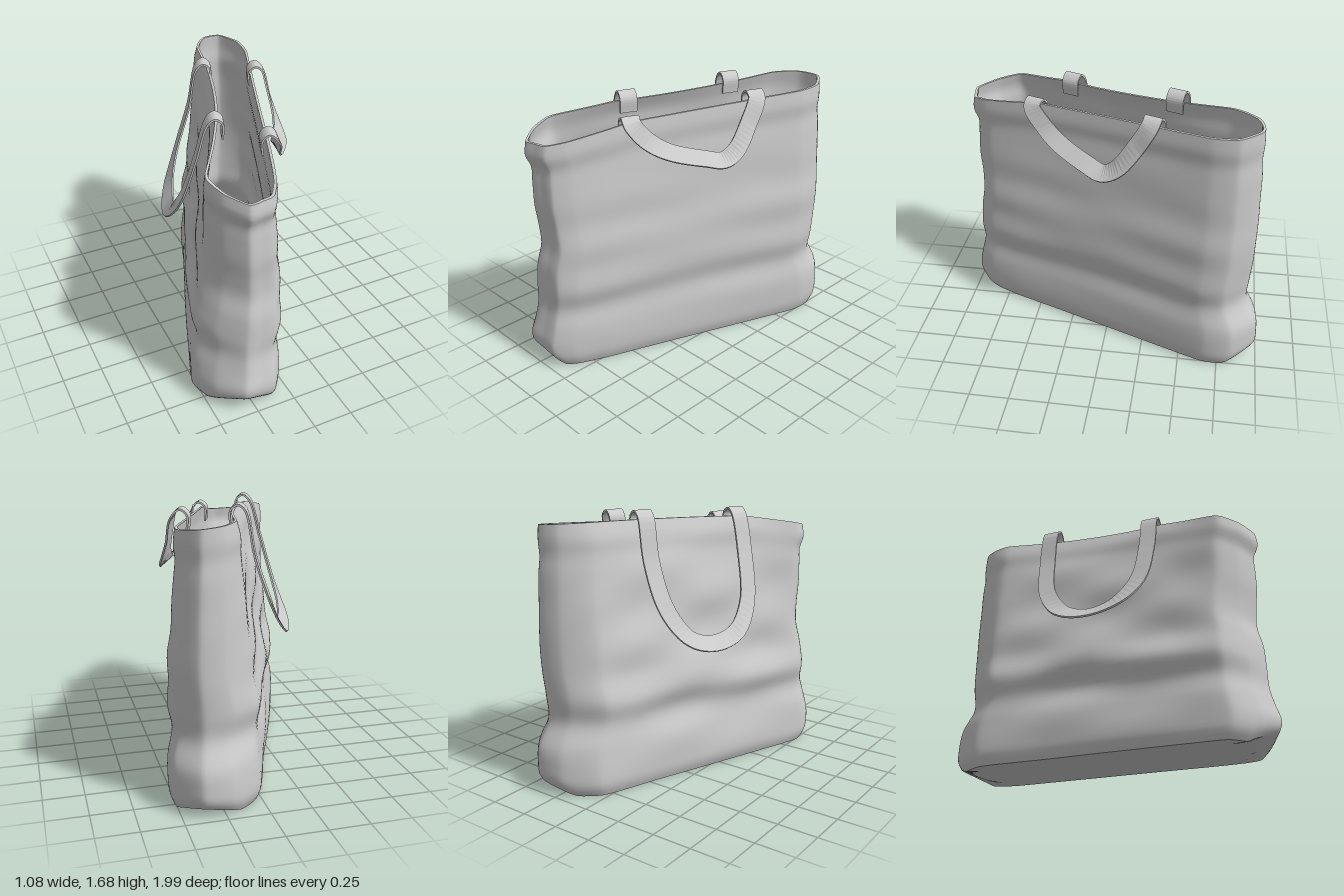
import * as THREE from 'three';

const material = new THREE.MeshStandardMaterial({ color: 0xcccccc, roughness: 0.9, side: THREE.DoubleSide });
const V = (x, y, z) => new THREE.Vector3(x, y, z);

// Plan outline of the bag (unit size), running front -> left -> back -> right
const OUTLINE = new THREE.CatmullRomCurve3([
  [0.15, 1], [0.5, 0.965], [0.82, 0.92], [0.97, 0.8], [1.01, 0.6], [1, 0.3], [1, -0.1], [1, -0.5], [0.98, -0.76],
  [0.75, -0.91], [0.1, -1], [-0.5, -0.93], [-0.98, -0.74], [-0.98, -0.35], [-1, 0], [-1, 0.5],
  [-0.97, 0.78], [-0.5, 0.92],
].map(([x, z]) => V(x, 0, z)), true, 'catmullrom', 0.3).getPoints(144).slice(0, -1);

// Wall profile: height, right side x, left side x, front reach, back reach
const LEVELS = [
  [0.00, -0.260, 0.245, 1.00, 1.03],
  [0.05, -0.280, 0.262, 1.03, 1.055],
  [0.14, -0.283, 0.270, 1.045, 1.06],
  [0.28, -0.268, 0.268, 1.02, 1.045],
  [0.42, -0.240, 0.250, 0.99, 0.975],
  [0.56, -0.272, 0.275, 0.985, 0.98],
  [0.72, -0.235, 0.265, 0.975, 0.995],
  [0.86, -0.220, 0.265, 0.945, 1.00],
  [1.00, -0.205, 0.245, 0.95, 1.00],
  [1.14, -0.200, 0.238, 0.965, 0.995],
  [1.30, -0.195, 0.225, 0.965, 0.99],
  [1.40, -0.190, 0.217, 0.965, 0.98],
  [1.48, -0.198, 0.225, 0.995, 0.985],
  [1.57, -0.188, 0.217, 0.985, 0.98],
];
const TOP = 1.57;
const profile = new THREE.CubicInterpolant(
  LEVELS.map((l) => l[0]), LEVELS.flatMap((l) => l.slice(1)), 4, new Float32Array(4));

// The rim falls away toward the front and is a little higher on the right side
const rimHeight = (x, z) => 1.588 - 0.04 * z - 0.075 * Math.max(0, (z - 0.4) / 0.6) - 0.02 * x;

// Soft cloth folds, strongest on the right side
function fold(side, y, z) {
  const h = Math.sin(Math.PI * Math.min(1, y / TOP));
  const mid = Math.max(0, 1 - z * z);
  return side > 0
    ? h * mid * (0.003 * Math.sin(11 * y + 2.5 * z) + 0.003 * Math.sin(19 * y - 4 * z + 1))
    : h * mid * (0.012 * Math.sin(12 * y + 5 * z) + 0.008 * Math.sin(17 * y - 7 * z + 2));
}

// One horizontal ring of the cloth
function ring(level, inset = 0) {
  const [xr, xl, front, back] = Array.from(profile.evaluate(level));
  const cx = (xl + xr) / 2, hx = (xl - xr) / 2 - inset;
  return OUTLINE.map((p) => {
    const z = p.z * ((p.z > 0 ? front : back) - inset);
    // the mouth closes in along its middle, mostly from the right side
    const pinch = (p.x < 0 ? 0.12 : 0.01) * (level / TOP) ** 4 * Math.max(0, 1 - (p.z > 0 ? 1.5 : 1) * p.z * p.z);
    const x = cx + hx * p.x + p.x * (fold(Math.sign(p.x), level, p.z) - pinch);
    // folded-up corner points under both ends
    const lift = Math.max(0, Math.abs(p.z) - 0.88) / 0.12 * (p.z > 0 ? 0.085 : 0.06) * Math.max(0, 1 - level / 0.3);
    return V(x, level / TOP * rimHeight(p.x, p.z) + lift, z);
  });
}

// Surface through closed rings
function skin(name, rings) {
  const n = rings[0].length, index = [];
  for (let i = 0; i < rings.length - 1; i++) {
    for (let j = 0; j < n; j++) {
      const a = i * n + j, b = i * n + (j + 1) % n;
      index.push(a, b, b + n, a, b + n, a + n);
    }
  }
  const geometry = new THREE.BufferGeometry().setFromPoints(rings.flat());
  geometry.setIndex(index);
  geometry.computeVertexNormals();
  const mesh = new THREE.Mesh(geometry, material);
  mesh.name = name;
  return mesh;
}

// Flat strap along a path; each stop is [position, facing direction]
function strap(name, stops, width = 0.11, thickness = 0.012) {
  const path = new THREE.CatmullRomCurve3(stops.map((s) => s[0]), false, 'centripetal');
  const steps = (stops.length - 1) * 6, rings = [];
  for (let i = 0; i <= steps; i++) {
    const t = i / steps, k = Math.min(Math.floor(i / 6), stops.length - 2);
    const face = stops[k][1].clone().lerp(stops[k + 1][1], i / 6 - k).normalize();
    const tangent = path.getTangent(t), centre = path.getPoint(t);
    const across = tangent.clone().cross(face).normalize();
    const out = across.clone().cross(tangent).normalize();
    const corner = (a, b) => centre.clone().addScaledVector(across, a * width / 2).addScaledVector(out, b * thickness / 2);
    rings.push([corner(-1, -1), corner(1, -1), corner(1, 1), corner(-1, 1)]);
  }
  const collapse = (r) => r.map(() => r[0].clone().add(r[2]).multiplyScalar(0.5));
  const mesh = skin(name, [collapse(rings[0]), ...rings, collapse(rings[steps])]);
  mesh.geometry = mesh.geometry.toNonIndexed();
  mesh.geometry.computeVertexNormals();
  return mesh;
}

// Handle: loops over the rim at both ends and hangs outside the bag
function handle(name, s, ends, hang) {
  const over = ([x, y, z]) => [
    [V(x - s * 0.04, y - 0.13, z), V(-s, 0, 0)],
    [V(x - s * 0.042, y - 0.04, z), V(-s, 0.3, 0)],
    [V(x, y - 0.006, z), V(0, 1, 0)],
    [V(x + s * 0.045, y - 0.04, z), V(s, 0.6, 0)],
  ];
  return strap(name, [
    ...over(ends[0]),
    ...hang.map(([x, y, z, tilt]) => [V(x, y, z), V(s, tilt, 0)]),
    ...over(ends[1]).reverse(),
  ]);
}

export function createModel() {
  const group = new THREE.Group();
  group.name = 'toteBag';
  const bag = new THREE.Group();
  bag.name = 'bag';
  bag.rotation.y = -0.358;
  group.add(bag);

  // Cloth shell
  const steps = 56, outer = [], inner = [];
  for (let i = 0; i <= steps; i++) {
    outer.push(ring(TOP * i / steps));
    inner.unshift(ring(Math.max(0.04, TOP * i / steps), 0.016));
  }
  const centre = (y) => OUTLINE.map(() => V(0, y, 0));
  const flat = (r, y) => r.map((p) => V(p.x * 0.86, y, p.z * 0.86));
  bag.add(
    skin('outerWall', outer),
    skin('rimEdge', [outer[steps], inner[0]]),
    skin('lining', inner),
    skin('innerFloor', [inner[steps], flat(inner[steps], 0.03), centre(0.03)]),
    skin('base', [centre(0), flat(outer[0], 0), outer[0]]),
  );

  // Straps: hang points are x, y, z and upward tilt
  bag.add(
    handle('leftHandle', 1, [[0.215, 1.59, 0.41], [0.225, 1.655, -0.39]], [
      [0.27, 1.45, 0.33, 0.5], [0.295, 1.365, 0.2, 0.9], [0.345, 1.305, -0.02, 1.1],
      [0.36, 1.285, -0.13, 1.1], [0.35, 1.335, -0.22, 0.8], [0.31, 1.47, -0.315, 0.4],
    ]),
    handle('rightHandle', -1, [[-0.085, 1.655, 0.32], [-0.11, 1.685, -0.385]], [
      [-0.2, 1.38, 0.32, 0.4], [-0.29, 1.09, 0.28, 0.4], [-0.36, 0.92, 0.15, 0.8], [-0.375, 0.87, -0.03, 0.9],
      [-0.36, 0.92, -0.2, 0.8], [-0.3, 1.1, -0.33, 0.4], [-0.21, 1.38, -0.38, 0.4],
    ]),
  );
  return group;
}
